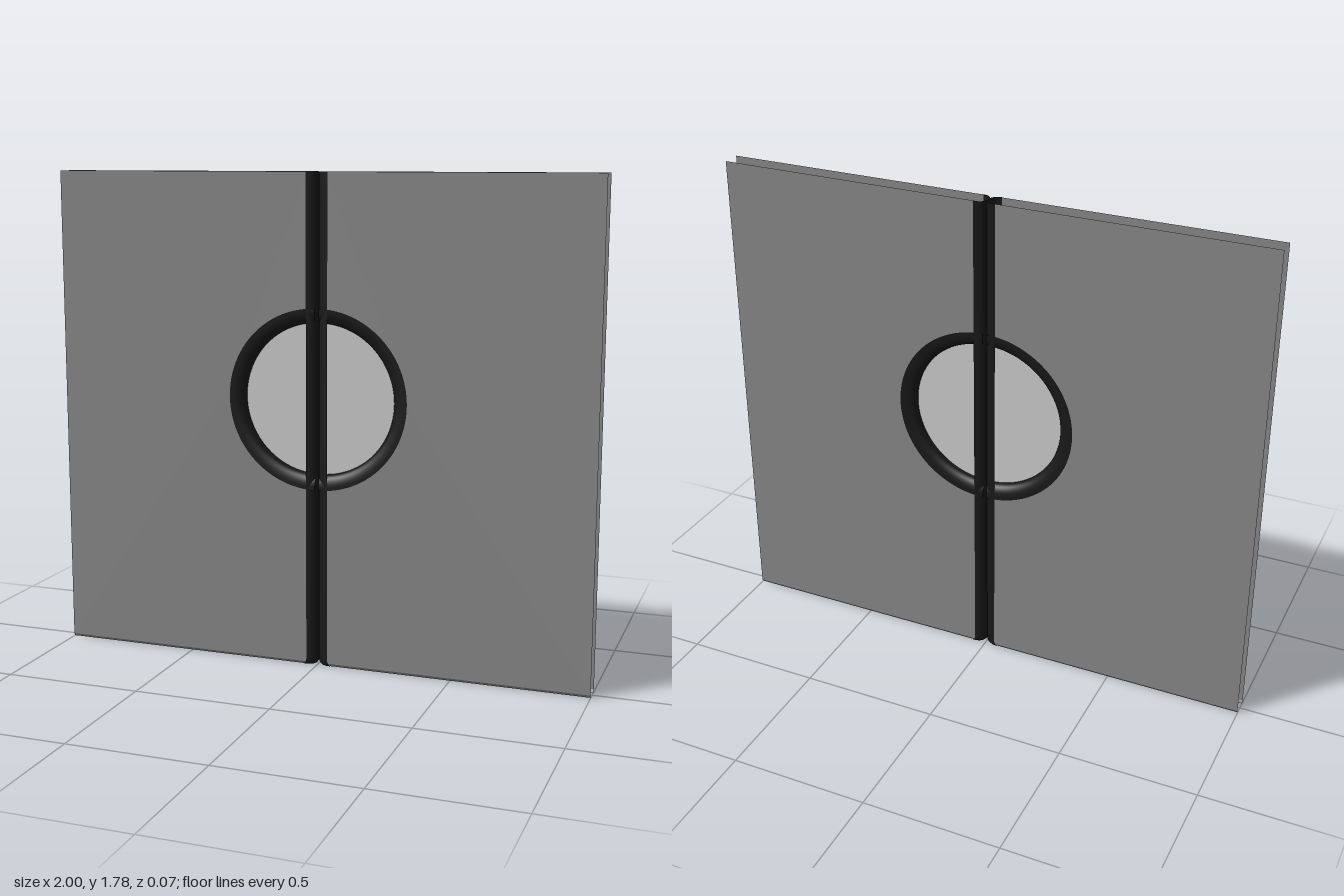
import * as THREE from 'three';

const HEIGHT = 1.78, HALF_GAP = 0.033, WINDOW_Y = 0.98, WINDOW_X = 0.007, RING_R = 0.272;
const SEAL = 0.04; // depth of the seal from its nose to its lips

const material = (color) => new THREE.MeshStandardMaterial({ color, side: THREE.DoubleSide });
const panelGrey = material(0x888888);
const rubber = material(0x181818);
const paneGrey = material(0xcccccc);

function add(group, name, geometry, mat) {
  const mesh = new THREE.Mesh(geometry, mat);
  mesh.name = name;
  group.add(mesh);
  return mesh;
}

// U-shaped seal section: x = distance back from the nose, y = across the thickness
function sealProfile(depth, steps = 20) {
  const points = [];
  for (let i = 0; i <= steps; i++) {
    const a = -Math.PI / 2 + (Math.PI * i) / steps;
    points.push(new THREE.Vector2(
      depth * (1 - Math.pow(Math.abs(Math.cos(a)), 0.8)),
      0.035 * Math.sign(Math.sin(a)) * Math.pow(Math.abs(Math.sin(a)), 0.8)
    ));
  }
  return points;
}

// Straight seal along the meeting edge, slightly drawn in at its foot
function edgeSealGeometry() {
  const profile = sealProfile(SEAL);
  const levels = [[HEIGHT, 0], [0.02, 0], [0.008, 0.004], [0, 0.012]];
  const geo = new THREE.PlaneGeometry(1, 1, profile.length - 1, levels.length - 1);
  const pos = geo.attributes.position;
  levels.forEach(([y, inset], row) => profile.forEach((p, col) => {
    pos.setXYZ(row * profile.length + col, p.x + inset, y, p.y * (1 - inset * 12));
  }));
  geo.computeVertexNormals();
  return geo;
}

// One skin of a leaf, notched by the half-round window
function skinGeometry() {
  const inner = 0.034, r = RING_R + 0.052;
  const a = Math.acos((inner - WINDOW_X) / r);
  const shape = new THREE.Shape();
  shape.moveTo(inner, 0.01);
  shape.lineTo(1, 0.01);
  shape.lineTo(1, HEIGHT);
  shape.lineTo(inner, HEIGHT);
  shape.lineTo(inner, WINDOW_Y + r * Math.sin(a));
  shape.absarc(WINDOW_X, WINDOW_Y, r, a, -a, true);
  shape.closePath();
  return new THREE.ShapeGeometry(shape, 48);
}

function createLeaf(name) {
  const leaf = new THREE.Group();
  leaf.name = name;

  // Front and back skins, each with a small lip turned in at the bottom
  const skin = skinGeometry();
  for (const [side, label] of [[1, 'front'], [-1, 'back']]) {
    const sheet = add(leaf, label + 'Skin', skin, panelGrey);
    sheet.position.z = side * HALF_GAP;
    const lip = new THREE.PlaneGeometry(0.966, 0.0115);
    lip.rotateX(side * 0.52);
    const lipMesh = add(leaf, label + 'BottomLip', lip, panelGrey);
    lipMesh.position.set(0.517, 0.005, side * (HALF_GAP - 0.003));
  }

  // Rubber seal on the meeting edge
  add(leaf, 'edgeSeal', edgeSealGeometry(), rubber);

  // Half-round rubber frame, nose towards the window
  const section = sealProfile(0.054).reverse().map((p) => new THREE.Vector2(RING_R + p.x, p.y));
  const ring = new THREE.LatheGeometry(section, 48, 0, Math.PI);
  ring.rotateX(Math.PI / 2);
  add(leaf, 'windowSeal', ring, rubber).position.set(WINDOW_X, WINDOW_Y, 0);

  // Window pane in the middle of the thickness
  const pane = new THREE.CircleGeometry(RING_R + 0.008, 48, -Math.PI / 2, Math.PI);
  add(leaf, 'windowPane', pane, paneGrey).position.set(WINDOW_X, WINDOW_Y, 0);
  return leaf;
}

export function createModel() {
  const model = new THREE.Group();
  model.name = 'doubleDoor';
  const left = createLeaf('leftLeaf');
  const right = createLeaf('rightLeaf');
  right.rotation.y = Math.PI;
  model.add(left, right);
  return model;
}
